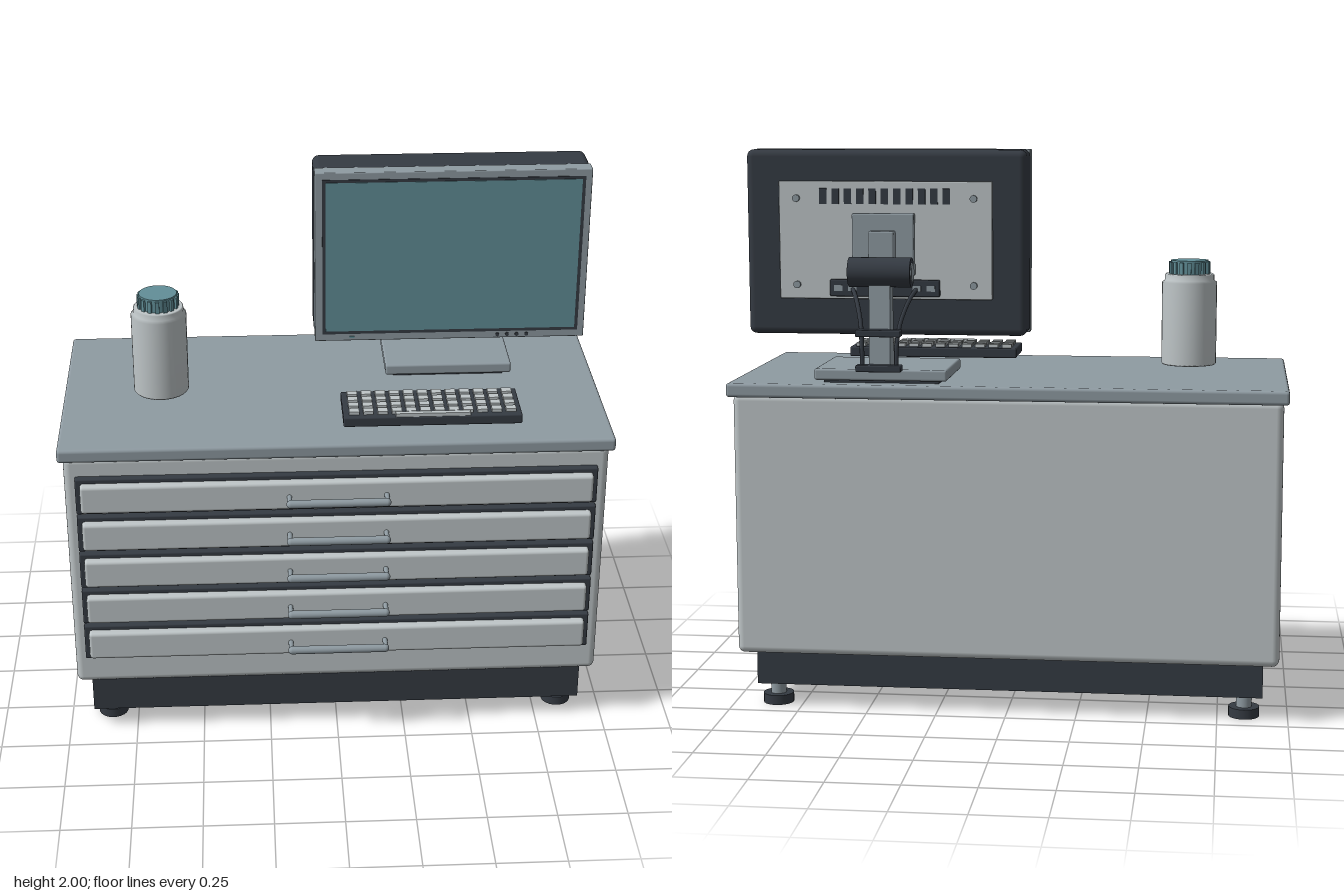
import * as THREE from 'three';
import { RoundedBoxGeometry } from 'three/addons/geometries/RoundedBoxGeometry.js';

const material = (name, color) => {
  const m = new THREE.MeshStandardMaterial({ color });
  m.name = name;
  return m;
};

export function createModel() {
  const light = material('light grey', 0xbfc6c8);
  const steel = material('blue grey', 0x8f9ba2);
  const dark = material('charcoal', 0x353b43);
  const teal = material('teal', 0x628f98);

  const model = new THREE.Group();
  model.name = 'drawerCabinetWorkstation';
  const group = (name) => {
    const g = new THREE.Group();
    g.name = name;
    model.add(g);
    return g;
  };
  const add = (parent, name, geometry, mat, x = 0, y = 0, z = 0) => {
    const mesh = new THREE.Mesh(geometry, mat);
    mesh.name = name;
    mesh.position.set(x, y, z);
    parent.add(mesh);
    return mesh;
  };
  // Box given by its limits on each axis, with optional rounded edges
  const box = (parent, name, mat, [x0, x1], [y0, y1], [z0, z1], radius = 0) => {
    const size = [x1 - x0, y1 - y0, z1 - z0];
    const geometry = radius ? new RoundedBoxGeometry(...size, 3, radius) : new THREE.BoxGeometry(...size);
    return add(parent, name, geometry, mat, (x0 + x1) / 2, (y0 + y1) / 2, (z0 + z1) / 2);
  };
  const cylinder = (parent, name, mat, r, length, x, y, z, axis = 'y', sides = 24) => {
    const g = new THREE.CylinderGeometry(r, r, length, sides);
    if (axis === 'x') g.rotateZ(Math.PI / 2);
    if (axis === 'z') g.rotateX(Math.PI / 2);
    return add(parent, name, g, mat, x, y, z);
  };

  // Cabinet body, worktop and plinth
  const cabinet = group('cabinet');
  box(cabinet, 'cabinetBody', light, [-0.965, 0.965], [0.21, 1.15], [-0.5, 0.4], 0.025);
  box(cabinet, 'worktop', steel, [-0.983, 0.983], [1.14, 1.19], [-0.525, 0.42], 0.012);
  box(cabinet, 'plinth', dark, [-0.91, 0.91], [0.08, 0.215], [-0.43, 0.387]);
  for (const x of [-0.845, 0.845]) {
    for (const z of [-0.375, 0.275]) {
      cylinder(cabinet, 'footPad', dark, 0.055, 0.035, x, 0.0175, z);
      cylinder(cabinet, 'footStem', steel, 0.028, 0.05, x, 0.058, z);
    }
  }

  // Five drawers with bar handles
  for (let i = 0; i < 5; i++) {
    const y = 1.008 - i * 0.152;
    const drawer = group('drawer');
    box(drawer, 'drawerFrame', dark, [-0.925, 0.925], [y - 0.07, y + 0.07], [0.39, 0.425], 0.006);
    box(drawer, 'drawerFront', light, [-0.907, 0.907], [y - 0.054, y + 0.054], [0.41, 0.455], 0.012);
    const bar = new THREE.CapsuleGeometry(0.015, 0.338, 6, 16);
    bar.rotateZ(Math.PI / 2);
    add(drawer, 'handleBar', bar, steel, 0, y, 0.51);
    for (const x of [-0.172, 0.172]) cylinder(drawer, 'handlePost', steel, 0.009, 0.06, x, y, 0.48, 'z', 12);
  }

  // Bottle with ribbed cap
  const bottle = group('bottle');
  bottle.position.set(-0.625, 0, -0.008);
  const profile = [[0, 1.217], [0.096, 1.217], [0.1, 1.222], [0.1, 1.518], [0.09, 1.526],
    [0.09, 1.545], [0.086, 1.549], [0, 1.549]].map(([r, y]) => new THREE.Vector2(r, y));
  add(bottle, 'bottleBody', new THREE.LatheGeometry(profile, 32), light);
  cylinder(bottle, 'cap', teal, 0.068, 0.052, 0, 1.572, 0, 'y', 32);
  for (let i = 0; i < 16; i++) {
    const a = (i / 16) * Math.PI * 2;
    const rib = add(bottle, 'capRib', new THREE.BoxGeometry(0.014, 0.044, 0.013), teal,
      Math.sin(a) * 0.069, 1.57, Math.cos(a) * 0.069);
    rib.rotation.y = a;
  }

  // Keyboard
  const keyboard = group('keyboard');
  box(keyboard, 'keyboardBase', dark, [0.025, 0.66], [1.213, 1.25], [0.115, 0.33], 0.006);
  for (let row = 0; row < 4; row++) {
    for (let col = 0; col < 12; col++) {
      const x = 0.064 + col * 0.0507;
      const z = 0.152 + row * 0.0465;
      box(keyboard, 'key', light, [x - 0.018, x + 0.018], [1.245, 1.262], [z - 0.015, z + 0.015]);
    }
  }
  box(keyboard, 'spaceBar', light, [0.21, 0.475], [1.245, 1.262], [0.31, 0.328]);

  // Monitor front: bezel, dark rim, screen and buttons
  const monitor = group('monitor');
  const cx = 0.441;
  box(monitor, 'bezel', steel, [-0.057, 0.939], [1.345, 2], [-0.175, -0.115], 0.004);
  box(monitor, 'screenRim', dark, [-0.03, 0.915], [1.373, 1.974], [-0.118, -0.113]);
  box(monitor, 'screen', teal, [-0.018, 0.903], [1.385, 1.963], [-0.115, -0.111]);
  for (let i = 0; i < 4; i++) {
    cylinder(monitor, 'button', dark, 0.007, 0.008, 0.618 + i * 0.036, 1.36, -0.114, 'z', 12);
  }
  box(monitor, 'powerLight', teal, [0.07, 0.088], [1.357, 1.363], [-0.117, -0.112]);

  // Monitor back: housing, plate, vents, screws and port strip
  box(monitor, 'rearHousing', dark, [-0.059, 0.941], [1.345, 2], [-0.327, -0.168], 0.025);
  box(monitor, 'backPlate', light, [0.06, 0.82], [1.475, 1.89], [-0.345, -0.32], 0.004);
  for (let i = 0; i < 11; i++) {
    const x = cx + (i - 5) * 0.044;
    box(monitor, 'ventSlot', dark, [x - 0.013, x + 0.013], [1.81, 1.865], [-0.349, -0.343]);
  }
  for (const x of [0.125, 0.757]) {
    for (const y of [1.525, 1.83]) cylinder(monitor, 'screw', steel, 0.013, 0.016, x, y, -0.35, 'z', 12);
  }
  box(monitor, 'portStrip', dark, [0.245, 0.637], [1.485, 1.545], [-0.365, -0.34], 0.005);
  for (const side of [-1, 1]) {
    for (let i = 0; i < 2; i++) {
      const x = cx + side * (0.115 + i * 0.05);
      box(monitor, 'port', steel, [x - 0.015, x + 0.015], [1.505, 1.525], [-0.369, -0.364]);
    }
  }

  // Stand: base, column, mount and tilt hinge
  const stand = group('monitorStand');
  box(stand, 'baseUnderside', dark, [0.235, 0.645], [1.188, 1.202], [-0.455, -0.135]);
  box(stand, 'standBase', steel, [0.205, 0.675], [1.2, 1.24], [-0.477, -0.115], 0.008);
  const columnShape = new THREE.Shape([[-0.398, 1.235], [-0.48, 1.235], [-0.466, 1.58], [-0.41, 1.58]]
    .map(([z, y]) => new THREE.Vector2(-z, y)));
  const column = new THREE.ExtrudeGeometry(columnShape, { depth: 0.075, bevelEnabled: false });
  column.rotateY(Math.PI / 2);
  add(stand, 'column', column, steel, cx - 0.0375, 0, 0);
  box(stand, 'mountSpacer', dark, [cx - 0.07, cx + 0.07], [1.6, 1.74], [-0.36, -0.34]);
  box(stand, 'mountPlate', steel, [cx - 0.11, cx + 0.11], [1.56, 1.78], [-0.392, -0.355], 0.006);
  box(stand, 'mountBlock', steel, [cx - 0.045, cx + 0.045], [1.57, 1.72], [-0.435, -0.385], 0.006);
  cylinder(stand, 'hingeBarrel', dark, 0.052, 0.22, cx, 1.578, -0.441, 'x', 32);
  for (const side of [-1, 1]) {
    cylinder(stand, 'hingePin', steel, 0.033, 0.006, cx + side * 0.111, 1.578, -0.441, 'x');
  }

  // Cables held by clips on the back of the column
  for (const side of [-1, 1]) {
    const path = new THREE.CatmullRomCurve3([[0.115, 1.515, -0.36], [0.095, 1.48, -0.4],
      [0.07, 1.4, -0.455], [0.062, 1.33, -0.482], [0.06, 1.25, -0.484]]
      .map(([x, y, z]) => new THREE.Vector3(cx + side * x, y, z)));
    add(stand, 'cable', new THREE.TubeGeometry(path, 28, 0.008, 8), dark);
  }
  for (const y of [1.37, 1.247]) {
    box(stand, 'cableClip', dark, [cx - 0.08, cx + 0.08], [y - 0.012, y + 0.012], [-0.518, -0.468], 0.005);
  }

  return model;
}
